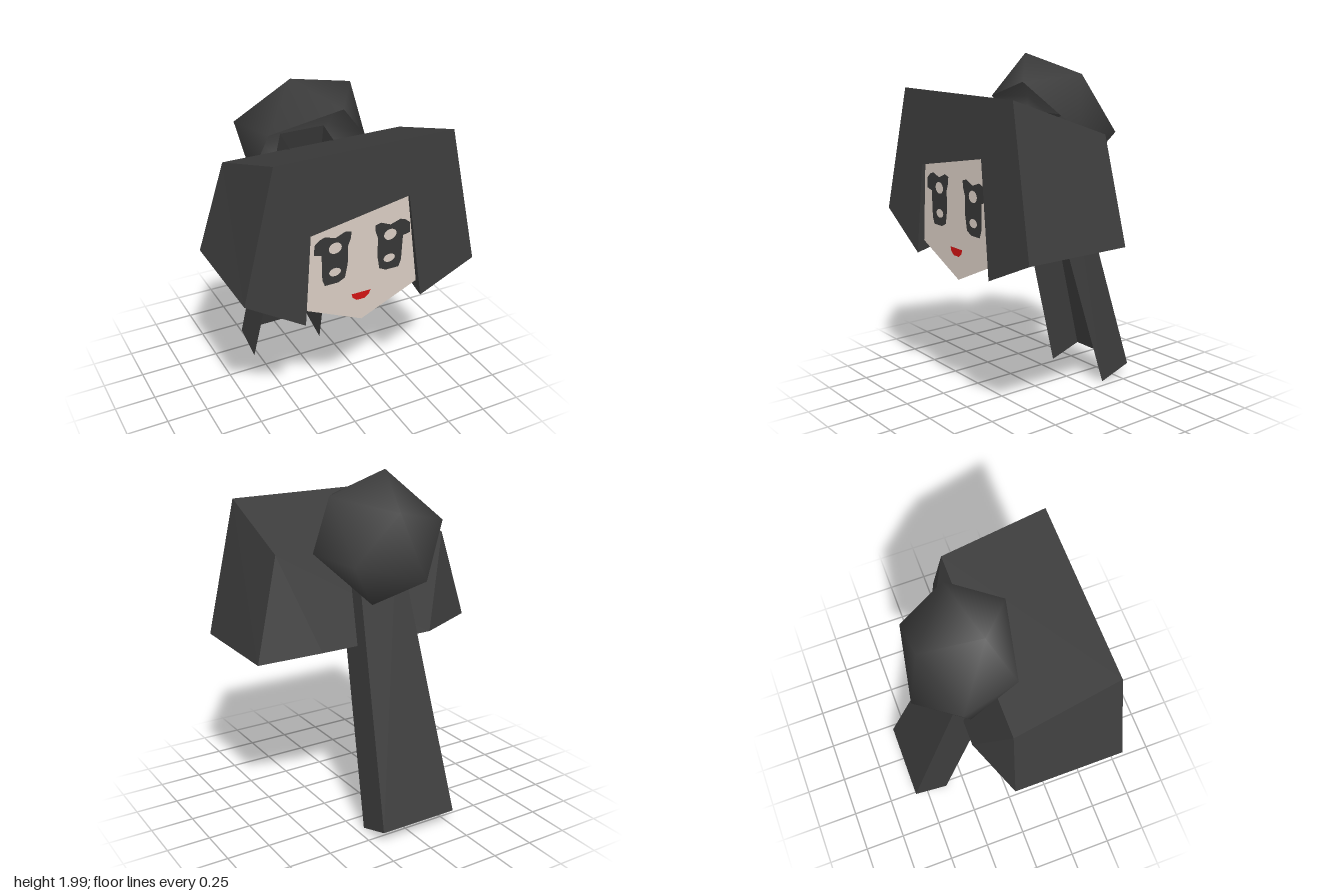
import * as THREE from 'three';

const mat = (name, color) => new THREE.MeshStandardMaterial({ name, color, side: THREE.DoubleSide });

// Flat faces given as loops of corners, counter-clockwise from outside
function facets(faces) {
  const pos = [];
  for (const f of faces)
    for (let i = 1; i < f.length - 1; i++) pos.push(...f[0], ...f[i], ...f[i + 1]);
  const g = new THREE.BufferGeometry();
  g.setAttribute('position', new THREE.Float32BufferAttribute(pos, 3));
  g.computeVertexNormals();
  return g;
}

const shapeOf = (pts) => new THREE.Shape(pts.map(([x, y]) => new THREE.Vector2(x, y)));

// Flat shape whose vertices are placed in depth by a rule
function plate(shape, place) {
  const g = new THREE.ShapeGeometry(shape, 12);
  const p = g.attributes.position;
  for (let i = 0; i < p.count; i++) p.setXYZ(i, ...place(p.getX(i), p.getY(i)));
  g.computeVertexNormals();
  return g;
}

export function createModel() {
  const model = new THREE.Group();
  model.name = 'bobHead';
  const hair = mat('charcoal hair', 0x3c3c3c);
  const skin = mat('pale skin', 0xd8ccc2);
  const ink = mat('eye ink', 0x363636);
  const red = mat('lip red', 0xd01414);
  const add = (name, geo, m) => {
    const mesh = new THREE.Mesh(geo, m);
    mesh.name = name;
    model.add(mesh);
    return mesh;
  };

  // Hair front with a notch for the face
  const zFront = (y) => 0.545 + (1.81 - y) * 0.04;
  add('fringe', plate(shapeOf([
    [-0.51, 1.81], [-0.7, 1.08], [-0.36, 0.87], [-0.32, 1.39],
    [0.26, 1.49], [0.35, 0.86], [0.69, 1.01], [0.52, 1.81],
  ]), (x, y) => [x, y, zFront(y)]), hair);

  // Hair sides, underside locks and rear corners
  const sides = [
    { s: 1, top: [0.52, 1.81], out: [0.69, 1.01], tip: [0.35, 0.86], notch: [0.26, 1.49] },
    { s: -1, top: [-0.51, 1.81], out: [-0.7, 1.08], tip: [-0.36, 0.87], notch: [-0.32, 1.39] },
  ];
  const corners = sides.map(({ s, top, out, tip, notch }) => {
    const at = ([x, y]) => [x, y, zFront(y)];
    const c = {
      top: at(top), out: at(out), tip: at(tip), notch: at(notch),
      backTop: [0.55 * s, 1.6, -0.04],
      backOut: [out[0], out[1], -0.07],
      nape: [0.36 * s, 1.06, -0.2],
    };
    const faces = [
      [c.top, c.out, c.backOut, c.backTop],
      [c.out, c.tip, c.nape, c.backOut],
      [c.backTop, c.backOut, c.nape],
      [c.tip, c.notch, [0.32 * s, 1.45, -0.05], c.nape],
    ];
    if (s < 0) faces.forEach((f) => f.reverse());
    add(s > 0 ? 'leftHair' : 'rightHair', facets(faces), hair);
    return c;
  });
  const [l, r] = corners;
  add('crownHair', facets([[r.top, l.top, l.backTop, r.backTop]]), hair);
  add('rearHair', facets([[l.backTop, l.nape, r.nape, r.backTop]]), hair);

  // Head: pointed chin in front, tapering back under the hair
  const front = [[-0.38, 1.52], [-0.38, 0.95], [0, 0.78], [0.38, 0.95], [0.36, 1.52]].map(([x, y]) => [x, y, 0.54]);
  const back = [[-0.36, 1.45], [-0.36, 1.05], [0, 1.0], [0.36, 1.05], [0.34, 1.45]].map(([x, y]) => [x, y, 0.05]);
  const headFaces = [front, [...back].reverse()];
  for (let i = 0; i < 5; i++) {
    const j = (i + 1) % 5;
    headFaces.push([front[i], back[i], back[j], front[j]]);
  }
  add('head', facets(headFaces), skin);

  // Eyes with two highlights, an upper lid and an outer lash
  for (const [s, cx, name] of [[1, 0.16, 'leftEye'], [-1, -0.17, 'rightEye']]) {
    const outline = [
      [-0.09, 1.31], [-0.075, 1.27], [-0.075, 1.16], [-0.06, 1.08], [-0.02, 1.06], [0.06, 1.06], [0.075, 1.1],
      [0.08, 1.25], [0.125, 1.26], [0.12, 1.32], [0.09, 1.345], [0.06, 1.355], [0, 1.335], [-0.06, 1.36], [-0.095, 1.35],
    ];
    const eye = shapeOf(outline.map(([x, y]) => [cx + s * x, y]));
    for (const [y, rx, ry] of [[1.275, 0.038, 0.033], [1.13, 0.035, 0.025]])
      eye.holes.push(new THREE.Path().absellipse(cx, y, rx, ry, 0, Math.PI * 2));
    add(name, plate(eye, (x, y) => [x, y, 0.545]), ink);
    add(name + 'Rear', plate(eye, (x, y) => [x, y, 0.046]), ink);
  }

  // Lips, with a matching patch under the chin
  const lips = shapeOf([[-0.068, 0.96], [-0.06, 0.935], [-0.035, 0.915], [0.015, 0.915], [0.04, 0.935], [0.05, 0.96]]);
  add('lips', plate(lips, (x, y) => [x, y, 0.545]), red);
  add('chinPatch', plate(lips, (x, y) => [x, y - 0.004, 0.54 - (y - 0.78) / 0.45]), red);

  // Ponytail: a tapering channel, open toward the front
  const tail = (x, y, z) => [x, y, z];
  const bl = tail(0.2, 0.08, -0.58), br = tail(-0.28, 0.08, -0.58);
  const fl = tail(0.2, 0.01, -0.37), fr = tail(-0.28, 0.01, -0.37);
  const tbl = tail(0.1, 1.66, -0.125), tbr = tail(-0.17, 1.66, -0.125);
  const tfl = tail(0.1, 1.59, 0.08), tfr = tail(-0.17, 1.59, 0.08);
  add('ponytail', facets([
    [bl, br, tbr, tbl],
    [fl, bl, tbl, tfl],
    [br, fr, tfr, tbr],
  ]), hair);

  // Bun: two staggered five-sided rings and an apex, open underneath
  const pos = [], idx = [];
  const ring = (start, y) => {
    for (let k = 0; k < 5; k++) {
      const a = THREE.MathUtils.degToRad(start + 72 * k);
      pos.push(0.363 * Math.sin(a), y, 0.363 * Math.cos(a));
    }
  };
  ring(17.8, -0.12);
  ring(53.8, 0.12);
  pos.push(0, 0.27, 0);
  for (let k = 0; k < 5; k++) {
    const n = (k + 1) % 5;
    idx.push(k, n, 5 + k, n, 5 + n, 5 + k, 5 + k, 5 + n, 10);
  }
  const bunGeo = new THREE.BufferGeometry();
  bunGeo.setAttribute('position', new THREE.Float32BufferAttribute(pos, 3));
  bunGeo.setIndex(idx);
  bunGeo.computeVertexNormals();
  const bun = add('bun', bunGeo, hair);
  bun.position.set(-0.03, 1.655, -0.155);
  bun.rotation.x = -Math.atan2(0.8, 0.61);

  return model;
}
